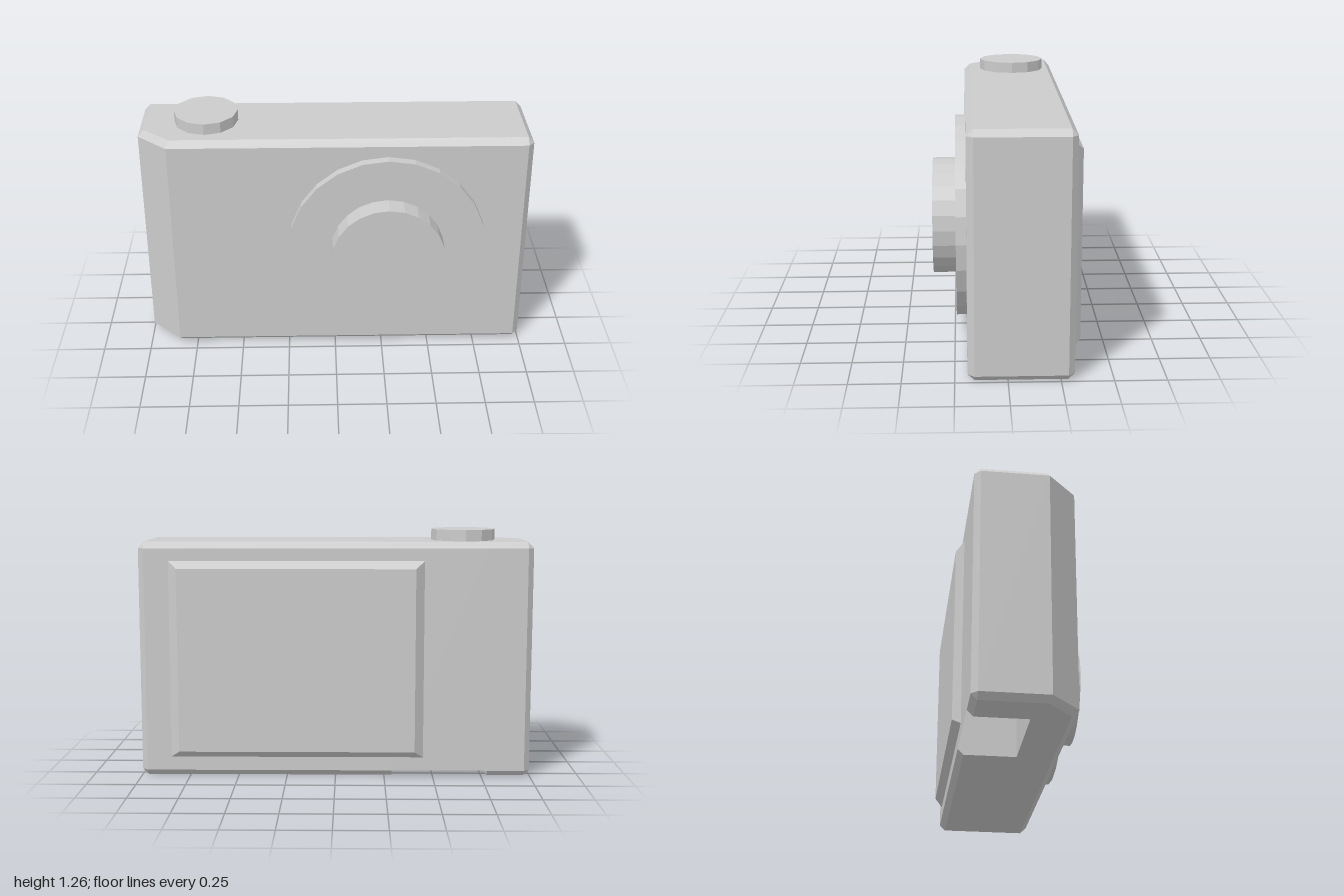
import * as THREE from 'three';

const material = new THREE.MeshStandardMaterial({ color: 0xcccccc, flatShading: true });

// Collects convex polygons (corners counter-clockwise from outside) as flat triangles
function polygonGeometry(polygons) {
  const pos = [];
  const tri = new THREE.Triangle();
  for (const p of polygons) {
    for (let i = 1; i + 1 < p.length; i++) {
      tri.a.set(...p[0]);
      tri.b.set(...p[i]);
      tri.c.set(...p[i + 1]);
      if (tri.getArea() > 1e-7) pos.push(...p[0], ...p[i], ...p[i + 1]);
    }
  }
  const g = new THREE.BufferGeometry();
  g.setAttribute('position', new THREE.Float32BufferAttribute(pos, 3));
  g.computeVertexNormals();
  return g;
}

// Quads joining one closed ring of points to the next
function band(lower, upper, skip = -1) {
  const quads = [];
  lower.forEach((p, i) => {
    const j = (i + 1) % lower.length;
    if (i !== skip) quads.push([p, lower[j], upper[j], upper[i]]);
  });
  return quads;
}

function addMesh(group, name, geometry) {
  const mesh = new THREE.Mesh(geometry, material);
  mesh.name = name;
  group.add(mesh);
  return mesh;
}

export function createModel() {
  const model = new THREE.Group();
  model.name = 'compactCamera';

  // Body: bevelled slab with a slanted grip corner, outline in x and z
  const L = -0.29, R = -0.78; // sides of the battery bay
  const back = -0.315, backIn = -0.285, frontIn = 0.157;
  const outer = [[1, backIn], [0.97, back], [L, back], [R, back], [-0.97, back], [-1, backIn],
    [-1, 0.045], [-0.845, 0.19], [0.97, 0.19], [1, frontIn]];
  const inner = [[0.97, backIn], [0.97, backIn], [L, backIn], [R, backIn], [-0.97, backIn], [-0.97, backIn],
    [-0.97, 0.033], [-0.832, frontIn], [0.97, frontIn], [0.97, frontIn]];
  const at = (ring, y) => ring.map(([x, z]) => [x, y, z]);
  const bottom = at(inner, 0), low = at(outer, 0.03), high = at(outer, 1.173), top = at(inner, 1.205);
  const bayFront = -0.025, bayTop = 0.35;
  const floor = [
    [[0.97, backIn], [L, backIn], [L, frontIn], [0.97, frontIn]],
    [[L, bayFront], [R, bayFront], [R, frontIn], [L, frontIn]],
    [[R, backIn], [-0.97, backIn], [-0.97, 0.033], [-0.832, frontIn], [R, frontIn]],
  ].map((p) => at(p, 0).reverse());
  addMesh(model, 'body', polygonGeometry([
    ...band(bottom, low, 2), ...band(low, high), ...band(high, top), top, ...floor,
  ]));

  // Open battery bay in the underside
  const side = (x) => [[x, 0, bayFront], [x, 0, backIn], [x, 0.03, back], [x, bayTop, back], [x, bayTop, bayFront]];
  addMesh(model, 'batteryBay', polygonGeometry([
    side(R),
    side(L).reverse(),
    [[L, 0, bayFront], [R, 0, bayFront], [R, bayTop, bayFront], [L, bayTop, bayFront]],
    [[R, 0.03, back], [L, 0.03, back], [L, bayTop, back], [R, bayTop, back]],
    [[L, bayTop, bayFront], [R, bayTop, bayFront], [R, bayTop, back], [L, bayTop, back]],
  ]));

  // Raised rear screen with sloping edges
  const rect = (x0, x1, y0, y1, z) => [[x1, y0, z], [x0, y0, z], [x0, y1, z], [x1, y1, z]];
  const screenBase = rect(-0.45, 0.845, 0.1, 1.11, back);
  const screenFace = rect(-0.405, 0.8, 0.135, 1.072, -0.355);
  addMesh(model, 'screen', polygonGeometry([...band(screenBase, screenFace), screenFace]));

  // Lens: wide ring and narrower barrel
  for (const [name, radius, z0, z1] of [['lensRing', 0.513, 0.18, 0.24], ['lensBarrel', 0.294, 0.23, 0.355]]) {
    const g = new THREE.CylinderGeometry(radius, radius, z1 - z0, 24).rotateX(Math.PI / 2);
    addMesh(model, name, g).position.set(0.268, 0.604, (z0 + z1) / 2);
  }

  // Shutter button, slightly oval
  const button = new THREE.CylinderGeometry(1, 1, 0.065, 12).scale(0.164, 1, 0.177);
  addMesh(model, 'shutterButton', button).position.set(-0.659, 1.2295, -0.078);

  return model;
}
